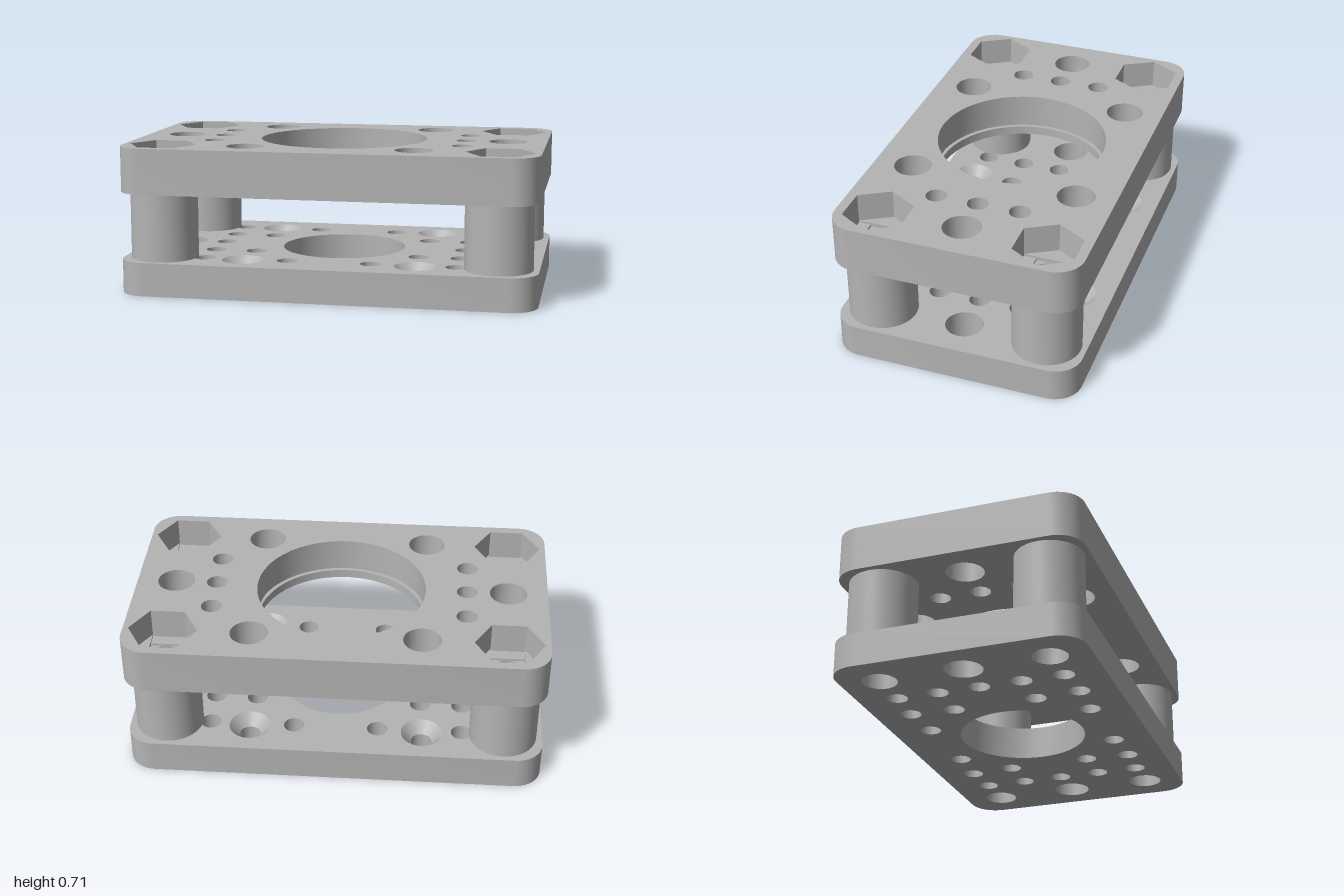
import * as THREE from 'three';
import { mergeGeometries, toCreasedNormals } from 'three/addons/utils/BufferGeometryUtils.js';

const W = 1, D = 0.593, CORNER = 0.13;           // plate half width, half depth, corner radius
const Y1 = 0.162, Y2 = 0.49, Y3 = 0.71;          // lower plate top, upper plate bottom and top
const BORE = 0.082, LARGE = 0.09, SMALL = 0.05;  // hole radii
const HEX = 0.164, HALF = HEX / 2, FLAT = HEX * Math.sqrt(3) / 2;

// Contours as lists of [x, z]
const circle = (x, z, r, n = 40) => Array.from({ length: n }, (_, i) => {
  const a = i / n * Math.PI * 2;
  return [x + r * Math.cos(a), z + r * Math.sin(a)];
});
const rect = (x, z, w, d) => [[x + w, z - d], [x + w, z + d], [x - w, z + d], [x - w, z - d]];
const plateOutline = () => {
  const pts = [];
  [[1, 1], [-1, 1], [-1, -1], [1, -1]].forEach(([sx, sz], q) => {
    for (let i = 0; i <= 10; i++) {
      const a = (q + i / 10) * Math.PI / 2;
      pts.push([sx * (W - CORNER) + CORNER * Math.cos(a), sz * (D - CORNER) + CORNER * Math.sin(a)]);
    }
  });
  return pts;
};

// Flat face with holes at height y
function face(outline, holes, y, up) {
  const toV = pts => pts.map(([x, z]) => new THREE.Vector2(x, up ? -z : z));
  const shape = new THREE.Shape(toV(outline));
  shape.holes = holes.map(h => new THREE.Path(toV(h)));
  const g = new THREE.ShapeGeometry(shape).rotateX(up ? -Math.PI / 2 : Math.PI / 2).translate(0, y, 0);
  g.deleteAttribute('uv');
  return g.toNonIndexed();
}

// Wall between two matching contours, facing outward or inward
function wall(lower, y0, y1, inward = false, upper = lower) {
  const pos = [], n = lower.length;
  for (let i = 0; i < n; i++) {
    const j = (i + 1) % n;
    const a = [lower[i][0], y0, lower[i][1]], b = [upper[i][0], y1, upper[i][1]];
    const c = [upper[j][0], y1, upper[j][1]], d = [lower[j][0], y0, lower[j][1]];
    pos.push(...(inward ? [...a, ...c, ...b, ...a, ...d, ...c] : [...a, ...b, ...c, ...a, ...c, ...d]));
  }
  const g = new THREE.BufferGeometry();
  g.setAttribute('position', new THREE.Float32BufferAttribute(pos, 3));
  g.computeVertexNormals();
  return toCreasedNormals(g, 0.6);
}

const SIGNS = [[1, 1], [-1, 1], [-1, -1], [1, -1]];
const corners = (x, z) => SIGNS.map(([a, b]) => [a * x, b * z]);
const POSTS = corners(0.81, 0.405);

export function createModel() {
  const grey = new THREE.MeshStandardMaterial({ color: 0xb4b4b4, side: THREE.DoubleSide });
  grey.name = 'grey';
  const model = new THREE.Group();
  model.name = 'spacedPlates';
  const add = (name, parts) => {
    const mesh = new THREE.Mesh(mergeGeometries(parts), grey);
    mesh.name = name;
    model.add(mesh);
  };
  const outline = plateOutline();

  // Lower plate: centre opening, hole grid and countersunk screw holes
  const plain = [
    circle(0, 0, 0.305, 72),
    ...POSTS.map(([x, z]) => circle(x, z, BORE)),
    ...[-0.81, 0.81].map(x => circle(x, 0, LARGE)),
    ...[[0.61, 0.405], [0.61, 0.203], [0.405, 0.203], [0.203, 0.405]]
      .flatMap(([x, z]) => corners(x, z)).map(([x, z]) => circle(x, z, SMALL, 28)),
    ...[-0.61, 0.61].map(x => circle(x, 0, SMALL, 28)),
  ];
  const screws = corners(0.418, 0.418);
  const screwHole = screws.map(([x, z]) => circle(x, z, SMALL));
  const sink = screws.map(([x, z]) => circle(x, z, 0.1));
  const sinkY = Y1 - 0.055;
  add('lowerPlate', [
    wall(outline, 0, Y1),
    face(outline, [...plain, ...sink], Y1, true),
    face(outline, [...plain, ...screwHole], 0, false),
    ...plain.map(h => wall(h, 0, Y1, true)),
    ...screwHole.flatMap((h, i) => [wall(h, 0, sinkY, true), wall(h, sinkY, Y1, true, sink[i])]),
  ]);

  // Hollow posts
  POSTS.forEach(([x, z]) => add('post', [
    wall(circle(x, z, 0.162, 56), Y1, Y2),
    wall(circle(x, z, BORE), Y1, Y2, true),
  ]));

  // Upper plate: straight holes, grooved centre bore and hexagonal nut pockets
  const centre = circle(0, 0, 0.41, 80), groove = circle(0, 0, 0.43, 80);
  const g0 = 0.533, g1 = 0.56;
  const straight = [
    ...[-0.81, 0.81].map(x => circle(x, 0, LARGE)),
    ...corners(0.405, 0.405).map(([x, z]) => circle(x, z, LARGE)),
    ...corners(0.61, 0.203).map(([x, z]) => circle(x, z, SMALL, 28)),
    ...[-0.61, 0.61].map(x => circle(x, 0, SMALL, 28)),
  ];
  const hexes = POSTS.map(([x, z]) => circle(x, z, HEX, 6));
  const bores = POSTS.map(([x, z]) => circle(x, z, BORE - 0.001));
  add('upperPlate', [
    wall(outline, Y2, Y3),
    face(outline, [centre, ...straight, ...hexes], Y3, true),
    face(outline, [centre, ...straight, ...bores], Y2, false),
    ...straight.map(h => wall(h, Y2, Y3, true)),
    wall(centre, Y2, g0, true),
    face(groove, [centre], g0, true),
    wall(groove, g0, g1, true),
    face(groove, [centre], g1, false),
    wall(centre, g1, Y3, true),
  ]);

  // Nut pockets step down from hexagon to slot to square to round bore
  const h0 = 0.57, h1 = 0.56, h2 = 0.55;
  POSTS.forEach(([x, z], i) => {
    const slot = rect(x, z, HALF, FLAT), square = rect(x, z, HALF, HALF);
    add('nutPocket', [
      wall(hexes[i], h0, Y3, true),
      ...[-1, 1].map(s => face(
        [[x + s * HALF, z - FLAT], [x + s * HEX, z], [x + s * HALF, z + FLAT]], [], h0, true)),
      wall(slot, h1, h0, true),
      ...[-1, 1].map(s => face(
        rect(x, z + s * (HALF + FLAT) / 2, HALF, (FLAT - HALF) / 2), [], h1, true)),
      wall(square, h2, h1, true),
      face(square, [bores[i]], h2, true),
      wall(bores[i], Y2, h2, true),
    ]);
  });
  return model;
}
